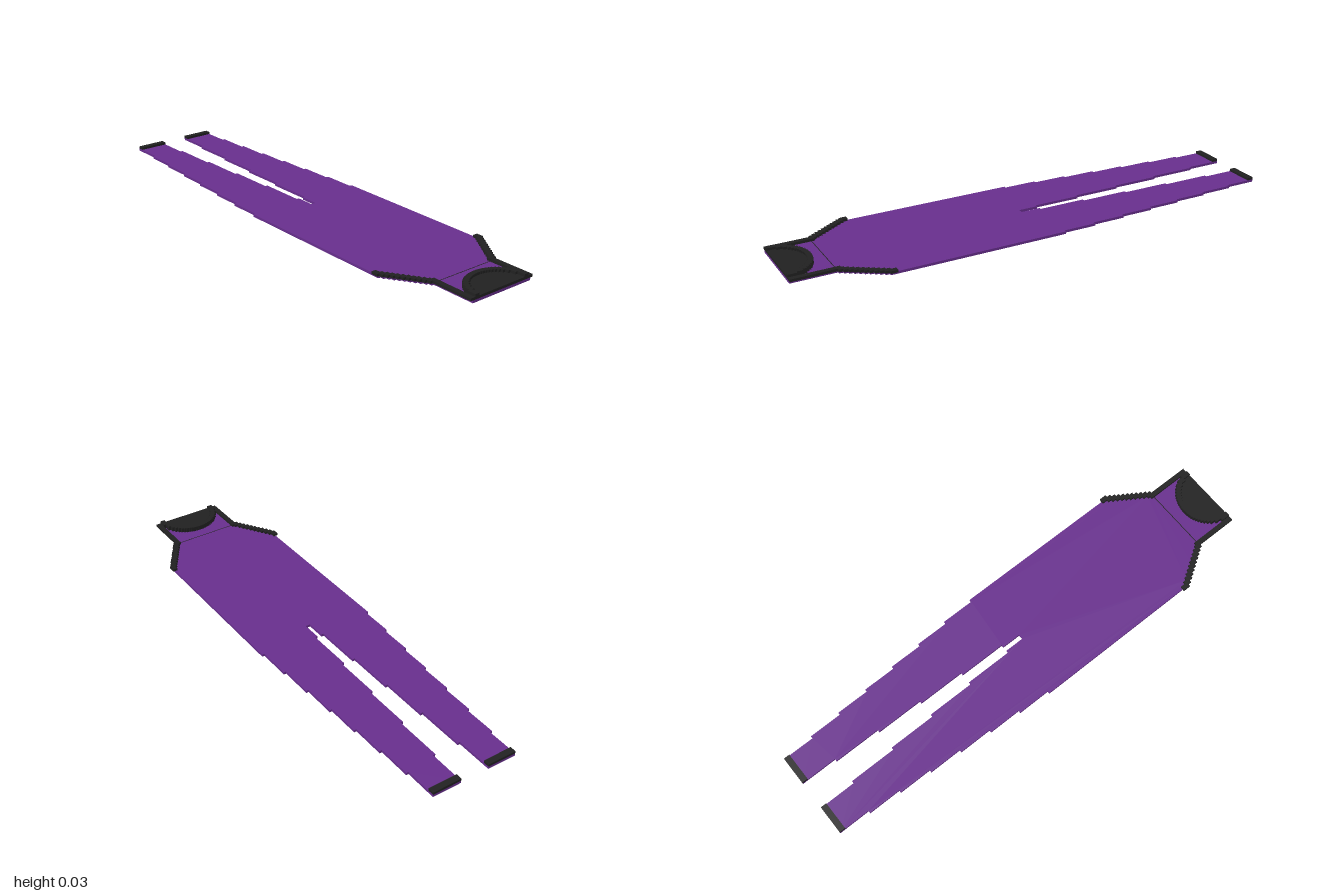
import * as THREE from 'three';

export function createModel() {
  const model = new THREE.Group();
  const purple = new THREE.MeshStandardMaterial({ color: 0x6a3090 });
  purple.name = 'purple fabric';
  const black = new THREE.MeshStandardMaterial({ color: 0x222222 });
  black.name = 'black trim';

  // Extrude an outline of [x, z] points upward from y0 to y1
  function slab(name, points, y0, y1, material) {
    const shape = new THREE.Shape(points.map(([x, z]) => new THREE.Vector2(x, -z)));
    const geometry = new THREE.ExtrudeGeometry(shape, { depth: y1 - y0, bevelEnabled: false });
    geometry.rotateX(-Math.PI / 2).translate(0, y0, 0);
    const mesh = new THREE.Mesh(geometry, material);
    mesh.name = name;
    model.add(mesh);
  }

  function box(name, x0, x1, y0, y1, z0, z1) {
    const mesh = new THREE.Mesh(new THREE.BoxGeometry(x1 - x0, y1 - y0, z1 - z0), black);
    mesh.position.set((x0 + x1) / 2, (y0 + y1) / 2, (z0 + z1) / 2);
    mesh.name = name;
    model.add(mesh);
  }

  // Half outline of the garment: stepped chest taper, outer leg, inner leg
  const half = [[0.14, 1]];
  const steps = 11, waistZ = 0.82, sideZ = 0.65, rise = (waistZ - sideZ) / steps;
  for (let i = 0; i < steps; i++) {
    const z = waistZ - i * rise;
    half.push([0.14 + i * 0.01, z], [0.15 + i * 0.01, z]);
  }
  for (let i = 0; i < 7; i++) {
    const z = -0.05 - i * 0.1365;
    half.push([0.25 - i * 0.01, z], [0.24 - i * 0.01, z]);
  }
  half.push([0.18, -1], [0.06, -1]);
  for (let i = 0; i < 5; i++) {
    const z = -0.85 + i * 0.195;
    half.push([0.06 - i * 0.01, z], [0.05 - i * 0.01, z]);
  }
  half.push([0.01, 0.01]);
  const mirrored = half.map(([x, z]) => [-x, z]).reverse();
  slab('garmentBody', [...half, ...mirrored], 0, 0.01, purple);

  // Thin seam across the chest
  box('chestSeam', -0.13, 0.13, 0.01, 0.0105, 0.822, 0.825);

  // Trim along the armholes and cuffs at the ankles
  for (const side of [-1, 1]) {
    const span = (a, b) => (side > 0 ? [a, b] : [-b, -a]);
    box('chestTrim', ...span(0.13, 0.15), 0.01, 0.02, waistZ - 0.01, 1);
    for (let i = 0; i < steps; i++) {
      const x = 0.15 + i * 0.01, z = waistZ - (i + 0.5) * rise;
      box('armholeTrim', ...span(x - 0.01, x + 0.01), 0.01, 0.02, z - 0.012, z + 0.012);
    }
    box('armholeTrimEnd', ...span(0.24, 0.26), 0.01, 0.02, 0.64, 0.66);
    box('ankleCuff', ...span(0.06, 0.18), 0.01, 0.02, -1, -0.975);
  }

  // Stepped half circle opening toward the front edge
  function steppedArc(radius) {
    const points = [], n = Math.round(radius / 0.01);
    for (let i = -n; i < n; i++) {
      const x = (i + 0.5) * 0.01;
      const z = 1 - Math.sqrt(radius * radius - x * x);
      points.push([i * 0.01, z], [(i + 1) * 0.01, z]);
    }
    return points;
  }

  // Neckline: low filled scoop with a raised rim
  const inner = steppedArc(0.11);
  const outer = steppedArc(0.13);
  slab('necklineScoop', [[-0.11, 1], ...inner, [0.11, 1]].reverse(), 0.01, 0.02, black);
  slab('necklineRim', [[-0.13, 1], ...outer, [0.13, 1], [0.11, 1], ...inner.slice().reverse(), [-0.11, 1]],
    0.01, 0.03, black);

  return model;
}
